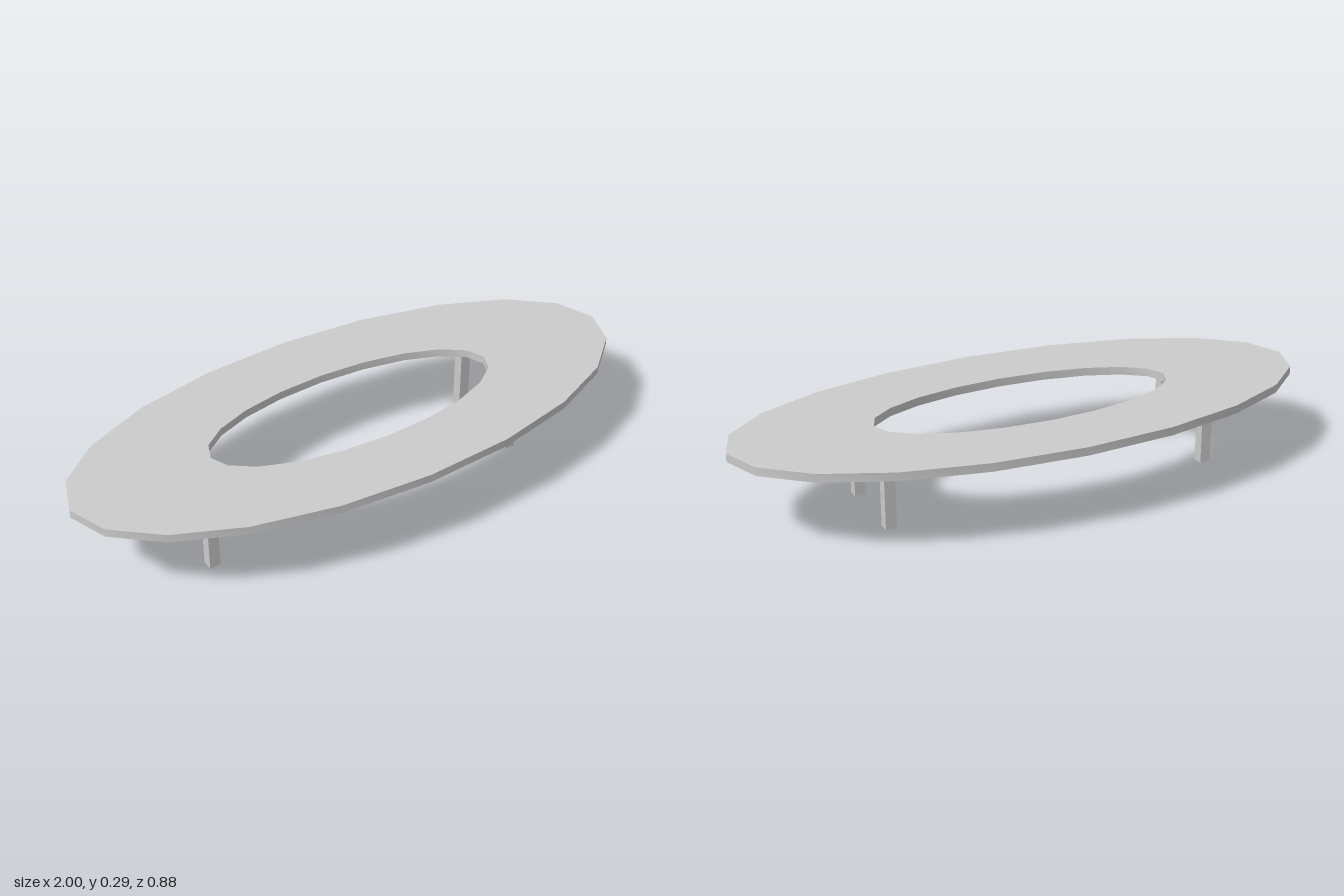
import * as THREE from 'three';
import { toCreasedNormals } from 'three/addons/utils/BufferGeometryUtils.js';

const SIDES = 20;
const UNDERSIDE = 0.26;
const THICKNESS = 0.028;
const LEG_WIDTH = 0.037;

// Corners of a low-poly oval
function oval(rx, rz) {
  return Array.from({ length: SIDES }, (_, i) => {
    const a = (i / SIDES) * Math.PI * 2;
    return new THREE.Vector2(rx * Math.cos(a), rz * Math.sin(a));
  });
}

export function createModel() {
  const model = new THREE.Group();
  model.name = 'ovalTable';
  const material = new THREE.MeshStandardMaterial({ color: 0xcccccc });

  // Flat oval ring, with smooth rims and sharp top and bottom edges
  const outline = new THREE.Shape(oval(1, 0.44));
  outline.holes.push(new THREE.Path(oval(0.525, 0.2)));
  const slab = new THREE.ExtrudeGeometry(outline, { depth: THICKNESS, bevelEnabled: false });
  slab.rotateX(-Math.PI / 2);
  const top = new THREE.Mesh(toCreasedNormals(slab, 0.9), material);
  top.name = 'tableTop';
  top.position.y = UNDERSIDE;
  model.add(top);

  // Four square legs, set slightly off centre
  const legGeometry = new THREE.BoxGeometry(LEG_WIDTH, UNDERSIDE, LEG_WIDTH);
  for (const [side, x] of [['Right', -0.612], ['Left', 0.537]]) {
    for (const [end, z] of [['front', 0.14], ['back', -0.132]]) {
      const leg = new THREE.Mesh(legGeometry, material);
      leg.name = `${end}${side}Leg`;
      leg.position.set(x, UNDERSIDE / 2, z);
      model.add(leg);
    }
  }
  return model;
}
